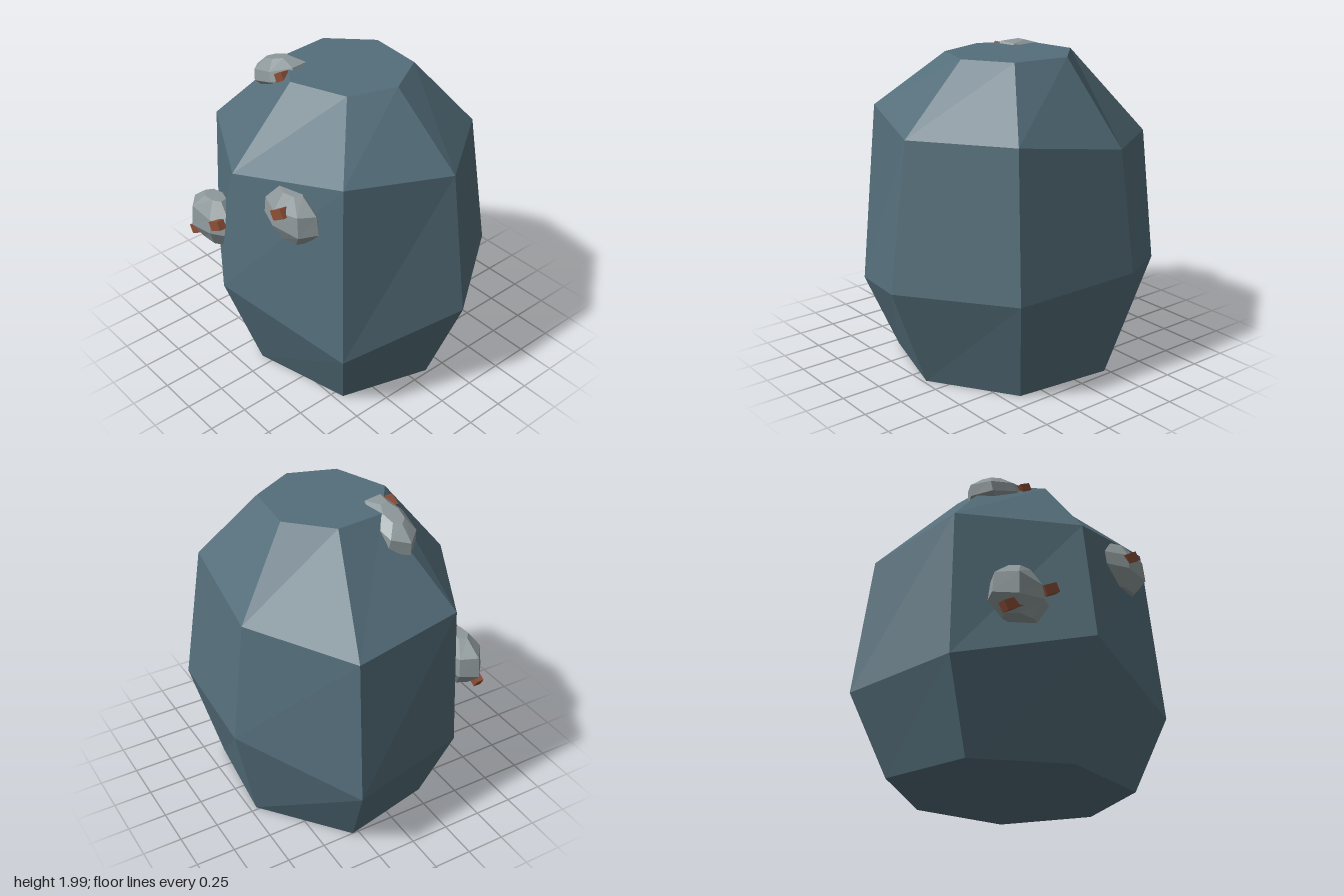
import * as THREE from 'three';

const SIDES = 7;
const material = (color) => new THREE.MeshStandardMaterial({ color, flatShading: true });

// Skin a stack of seven-point rings (bottom to top) and cap both ends
function loft(rings) {
  const points = rings.flat();
  const index = [];
  for (let r = 0; r < rings.length - 1; r++) {
    for (let i = 0; i < SIDES; i++) {
      const j = (i + 1) % SIDES;
      const low = r * SIDES, high = low + SIDES;
      index.push(low + i, low + j, high + j, low + i, high + j, high + i);
    }
  }
  const top = (rings.length - 1) * SIDES;
  for (let i = 1; i < SIDES - 1; i++) {
    index.push(0, i + 1, i, top, top + i, top + i + 1);
  }
  const geometry = new THREE.BufferGeometry();
  geometry.setAttribute('position', new THREE.Float32BufferAttribute(points.flat(), 3));
  geometry.setIndex(index);
  const flat = geometry.toNonIndexed();
  flat.computeVertexNormals();
  return flat;
}

// Small faceted stone of unit half-size with slightly uneven rings
function nuggetGeometry(seed) {
  const wobble = (n) => Math.sin(n * 12.99 + seed * 4.7);
  const levels = [[-1, 0.56], [-0.36, 1], [0.42, 0.92], [1, 0.42]];
  return loft(levels.map(([y, radius], r) => Array.from({ length: SIDES }, (_, i) => {
    const a = (i / SIDES) * Math.PI * 2 + seed * 0.4;
    const k = radius * (1 + 0.06 * wobble(i + 1));
    const lift = r === 1 || r === 2 ? 0.1 * wobble(i + r * 7) : 0;
    return [Math.sin(a) * k, y + lift, Math.cos(a) * k];
  })));
}

export function createModel() {
  const model = new THREE.Group();
  model.name = 'oreBoulder';
  const stone = material(0x546e7a);
  const ore = material(0x8e989a);
  const rust = material(0x8d4f38);

  // Boulder: rings run from the front towards +x
  const boulder = new THREE.Mesh(loft([
    [[-0.08, 0, 0.61], [0.56, 0, 0.45], [0.73, 0, -0.12], [0.4, 0, -0.64],
      [-0.23, 0, -0.71], [-0.75, 0, -0.29], [-0.62, 0, 0.3]],
    [[-0.11, 0.7, 0.85], [0.72, 0.47, 0.59], [0.98, 0.65, -0.15], [0.53, 0.66, -0.8],
      [-0.3, 0.69, -0.86], [-0.98, 0.5, -0.37], [-0.82, 0.54, 0.4]],
    [[-0.1, 1.48, 0.74], [0.64, 1.63, 0.52], [0.85, 1.56, -0.14], [0.46, 1.56, -0.69],
      [-0.27, 1.45, -0.76], [-0.88, 1.4, -0.34], [-0.79, 1.47, 0.37]],
    [[-0.04, 1.97, 0.34], [0.31, 1.97, 0.21], [0.41, 1.97, -0.09], [0.24, 1.97, -0.38],
      [-0.13, 1.97, -0.42], [-0.37, 1.97, -0.18], [-0.34, 1.97, 0.13]],
  ]), stone);
  boulder.name = 'boulder';
  model.add(boulder);

  // Ore nuggets: position, half-size, tilt
  [
    ['lowerNugget', [-0.49, 0.92, 0.62], [0.22, 0.16, 0.13], 0],
    ['upperNugget', [0.31, 1.365, 0.62], [0.23, 0.155, 0.13], 0],
    ['topNugget', [-0.335, 1.875, 0.19], [0.235, 0.095, 0.14], 0.3],
  ].forEach(([name, position, size, tilt], i) => {
    const nugget = new THREE.Mesh(nuggetGeometry(i + 1), ore);
    nugget.name = name;
    nugget.position.set(...position);
    nugget.scale.set(...size);
    nugget.rotation.z = tilt;
    model.add(nugget);
  });

  // Rusty shards set into the nuggets: position, length, roll
  [
    [[-0.6, 0.805, 0.685], 0.16, 0.52],
    [[-0.35, 0.965, 0.71], 0.11, 0.5],
    [[0.325, 1.41, 0.72], 0.11, 0.55],
    [[0.12, 1.28, 0.66], 0.08, -0.9],
    [[-0.18, 1.93, 0.29], 0.08, 0.5],
  ].forEach(([position, length, roll], i) => {
    const shard = new THREE.Mesh(new THREE.BoxGeometry(length, 0.06, 0.05), rust);
    shard.name = `rustShard${i + 1}`;
    shard.position.set(...position);
    shard.rotation.z = roll;
    model.add(shard);
  });

  return model;
}
